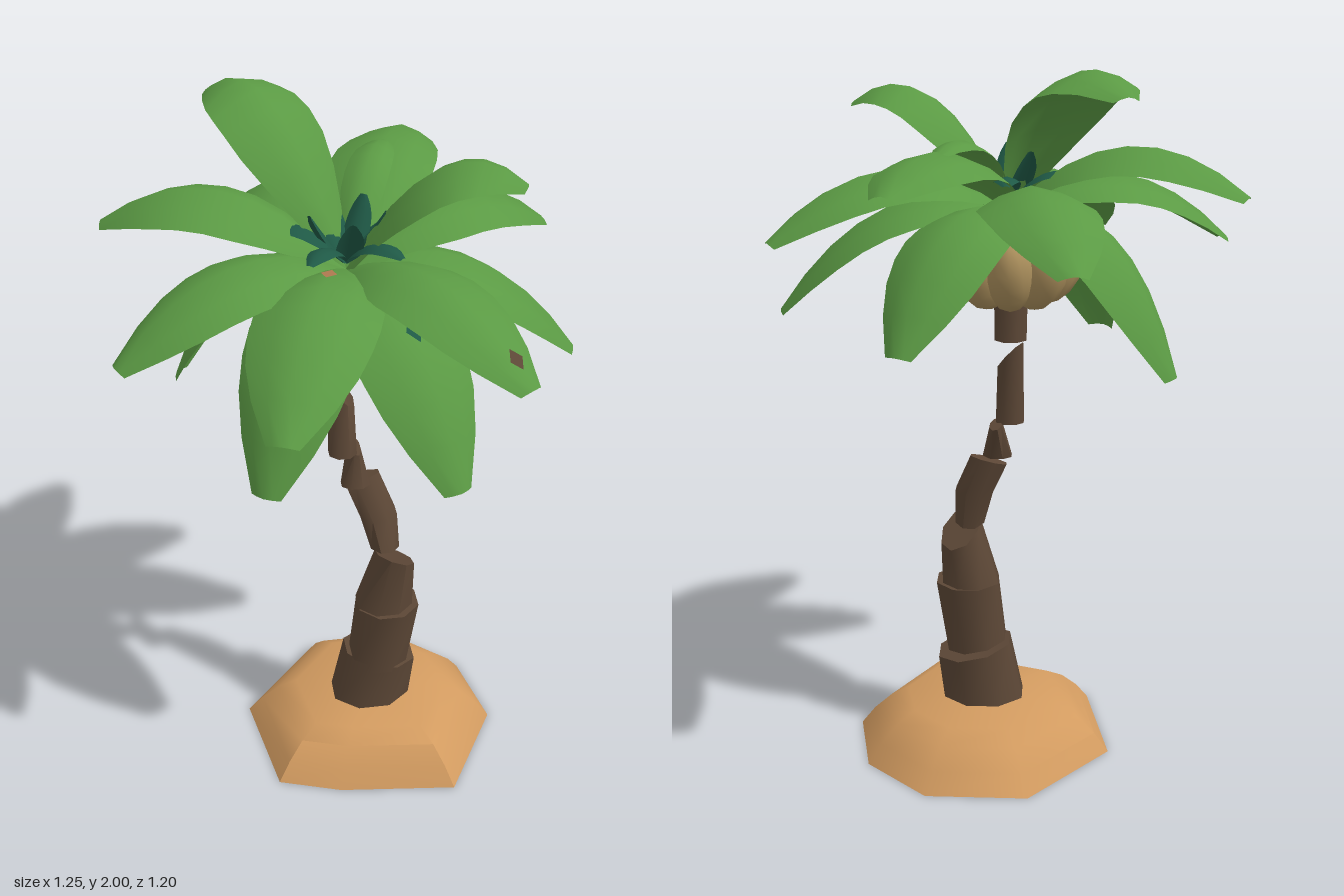
import * as THREE from 'three';
import { toCreasedNormals } from 'three/addons/utils/BufferGeometryUtils.js';

const V = (x, y, z) => new THREE.Vector3(x, y, z);
const mat = (name, color, side = THREE.FrontSide) => {
  const m = new THREE.MeshStandardMaterial({ color, side });
  m.name = name;
  return m;
};

// Grid of points (rows of equal length) turned into a surface
function surface(rows, crease) {
  const n = rows[0].length, index = [];
  for (let r = 0; r < rows.length - 1; r++) {
    for (let c = 0; c < n - 1; c++) {
      const a = r * n + c, b = a + 1, d = a + n, e = d + 1;
      index.push(a, d, b, b, d, e);
    }
  }
  const geo = new THREE.BufferGeometry().setFromPoints(rows.flat());
  geo.setIndex(index);
  return toCreasedNormals(geo, crease);
}

// Elliptical ring; sx and sz tilt it along x and z
function ring([x, y, z, rx, rz, sx = 0, sz = 0], sides = 8) {
  return Array.from({ length: sides }, (_, i) => {
    const a = (i + 0.5) / sides * Math.PI * 2;
    const dx = Math.cos(a) * rx, dz = Math.sin(a) * rz;
    return V(x + dx, y + sx * dx + sz * dz, z + dz);
  });
}

// Closed solid through a stack of rings of points
function loft(rings, crease) {
  const cap = (r) => {
    const centre = r.reduce((s, p) => s.add(p), V(0, 0, 0)).divideScalar(r.length);
    return r.map(() => centre);
  };
  const rows = [cap(rings[0]), ...rings, cap(rings[rings.length - 1])];
  return surface(rows.map((r) => [...r, r[0]]), crease);
}

// Arching leaf from the crown to a tip: x, y, z, arch height, half width, arch reach
const PROFILE = [0.2, 0.5, 0.8, 0.97, 1, 0.97, 0.87, 0.64, 0.26];
function leafFrame([x, y, z, lift, , reach = 0.5], root, t) {
  const path = new THREE.QuadraticBezierCurve3(root,
    V(root.x + (x - root.x) * reach, lift, root.z + (z - root.z) * reach), V(x, y, z));
  const side = V(-z, 0, x).normalize();
  const tangent = path.getTangent(t);
  const up = V(0, 0, 0).crossVectors(side, tangent).normalize();
  if (up.y < 0) up.negate();
  return { p: path.getPoint(t), side, up, tangent };
}

function leaf(spec, root) {
  return surface(PROFILE.map((w, i) => {
    const { p, side, up } = leafFrame(spec, root, i / (PROFILE.length - 1));
    const half = spec[4] * w;
    return [-1, -0.55, 0, 0.55, 1].map((s) => p.clone()
      .addScaledVector(side, s * half)
      .addScaledVector(up, -0.4 * half * Math.abs(s) ** 1.6));
  }), 0.7);
}

// Small thin diamond lying on the ridge of a leaf
function speck(spec, root, t, size) {
  const { p, side, up, tangent } = leafFrame(spec, root, t);
  const at = (s, l) => p.clone().addScaledVector(up, 0.006)
    .addScaledVector(side, s * size * 0.7).addScaledVector(tangent, l * size);
  return surface([[at(-1, 0), at(0, 1)], [at(0, -1), at(1, 0)]], 0.5);
}

export function createModel() {
  const model = new THREE.Group();
  const sand = mat('sand', 0xd29b60);
  const bark = mat('bark', 0x5c4736, THREE.DoubleSide);
  const green = mat('leaf green', 0x5b9a44, THREE.DoubleSide);
  const dark = mat('dark teal leaf', 0x1f5946, THREE.DoubleSide);
  const dry = mat('dry leaf', 0xb07a50, THREE.DoubleSide);
  const husk = mat('coconut husk', 0xab8f5c);

  const add = (name, geo, material, parent = model) => {
    const mesh = new THREE.Mesh(geo, material);
    mesh.name = name;
    parent.add(mesh);
    return mesh;
  };
  const group = (name) => {
    const g = new THREE.Group();
    g.name = name;
    model.add(g);
    return g;
  };

  // Sand mound: uneven outline shrinking towards a flat top
  const outline = [[0.45, 0.05], [0.28, 0.34], [-0.06, 0.3], [-0.24, 0.24],
    [-0.3, -0.09], [-0.07, -0.35], [0.22, -0.35], [0.4, -0.19]];
  const mound = [[0, 1], [0.055, 0.89], [0.105, 0.75], [0.138, 0.6]];
  add('sandMound', loft(mound.map(([y, s]) =>
    outline.map(([x, z]) => V(0.075 + (x - 0.075) * s, y, z * s))), 0.7), sand);

  // Leaning trunk of separate tapered pieces
  const trunk = group('trunk');
  [
    [[0.07, 0.12, 0.01, 0.125, 0.1], [0.1, 0.295, 0.01, 0.112, 0.1, -0.22, 0.05]],
    [[0.09, 0.27, 0.03, 0.092, 0.078], [0.12, 0.5, 0.03, 0.096, 0.092]],
    [[0.11, 0.5, 0.025, 0.087, 0.082], [0.14, 0.66, 0.025, 0.058, 0.08, -0.4, 0.4]],
    [[0.11, 0.7, 0.01, 0.045, 0.064, 0, 0.15], [0.095, 0.8, -0.015, 0.058, 0.055],
      [0.052, 0.905, -0.052, 0.054, 0.022, 0.25]],
    [[0.03, 0.905, -0.018, 0.044, 0.034], [0.032, 1.01, -0.055, 0.018, 0.054, -0.2]],
    [[-0.006, 1.01, -0.025, 0.042, 0.038], [-0.008, 1.205, -0.038, 0.038, 0.03, -1, -0.6]],
    [[-0.008, 1.25, -0.03, 0.047, 0.044], [-0.01, 1.58, -0.015, 0.052, 0.052]],
  ].forEach((rings) => add('trunkPiece', loft(rings.map((r) => ring(r)), 0.9), bark, trunk));

  // Ring of coconuts under the crown
  const nuts = group('coconuts');
  const count = 8;
  for (let i = 0; i < count; i++) {
    const a = (i / count) * Math.PI * 2;
    const nut = add('coconut', new THREE.SphereGeometry(1, 10, 8), husk, nuts);
    nut.position.set(-0.01 + Math.cos(a) * 0.108, 1.45, -0.01 + Math.sin(a) * 0.108);
    nut.rotation.set(0, -a, -0.45, 'YXZ');
    nut.scale.set(0.082, 0.11, 0.066);
  }

  const crown = group('crown');
  const root = V(0, 1.6, 0);
  const frontLow = [0.22, 1.2, 0.48, 1.72, 0.16, 0.65];
  const frontRight = [0.37, 1.52, 0.53, 1.82, 0.14];
  const frontLeft = [-0.24, 1.46, 0.59, 1.8, 0.16];
  [
    // drooping lower leaves
    [0.63, 1.32, 0, 1.75, 0.15, 0.55],
    frontLow,
    [-0.27, 1.18, 0.4, 1.72, 0.16, 0.65],
    [-0.45, 1.2, -0.22, 1.72, 0.15, 0.65],
    [0.26, 1.32, -0.47, 1.74, 0.15, 0.6],
    // spreading middle leaves
    frontLeft,
    frontRight,
    [0.6, 1.57, -0.3, 1.88, 0.15],
    [0.27, 1.74, -0.58, 1.93, 0.145],
    [-0.18, 1.56, -0.6, 1.84, 0.15],
    [-0.62, 1.68, -0.22, 1.94, 0.14],
    [-0.61, 1.49, 0.23, 1.82, 0.145],
    // upright top leaves
    [-0.3, 1.95, -0.43, 2.15, 0.145],
    [0.43, 1.87, 0.15, 2.05, 0.125],
    [0.16, 1.8, -0.36, 1.9, 0.06],
  ].forEach((spec) => add('leaf', leaf(spec, root), green, crown));

  // Dark shoots in the heart of the crown, upright and spreading by turns
  const heart = V(0, 1.62, 0);
  for (let i = 0; i < 10; i++) {
    const a = (i / 10) * Math.PI * 2 + 0.3;
    const [r, y, lift] = i % 2 ? [0.2, 1.7, 1.75] : [0.1, 1.77, 1.69];
    add('youngShoot', leaf([Math.cos(a) * r, y, Math.sin(a) * r, lift, 0.036], heart), dark, crown);
  }

  // Discoloured patches on the front leaves
  add('leafPatch', speck(frontLow, root, 0.5, 0.035), dark, crown);
  add('leafPatch', speck(frontRight, root, 0.9, 0.03), bark, crown);
  add('leafPatch', speck(frontLeft, root, 0.28, 0.03), dry, crown);
  return model;
}
